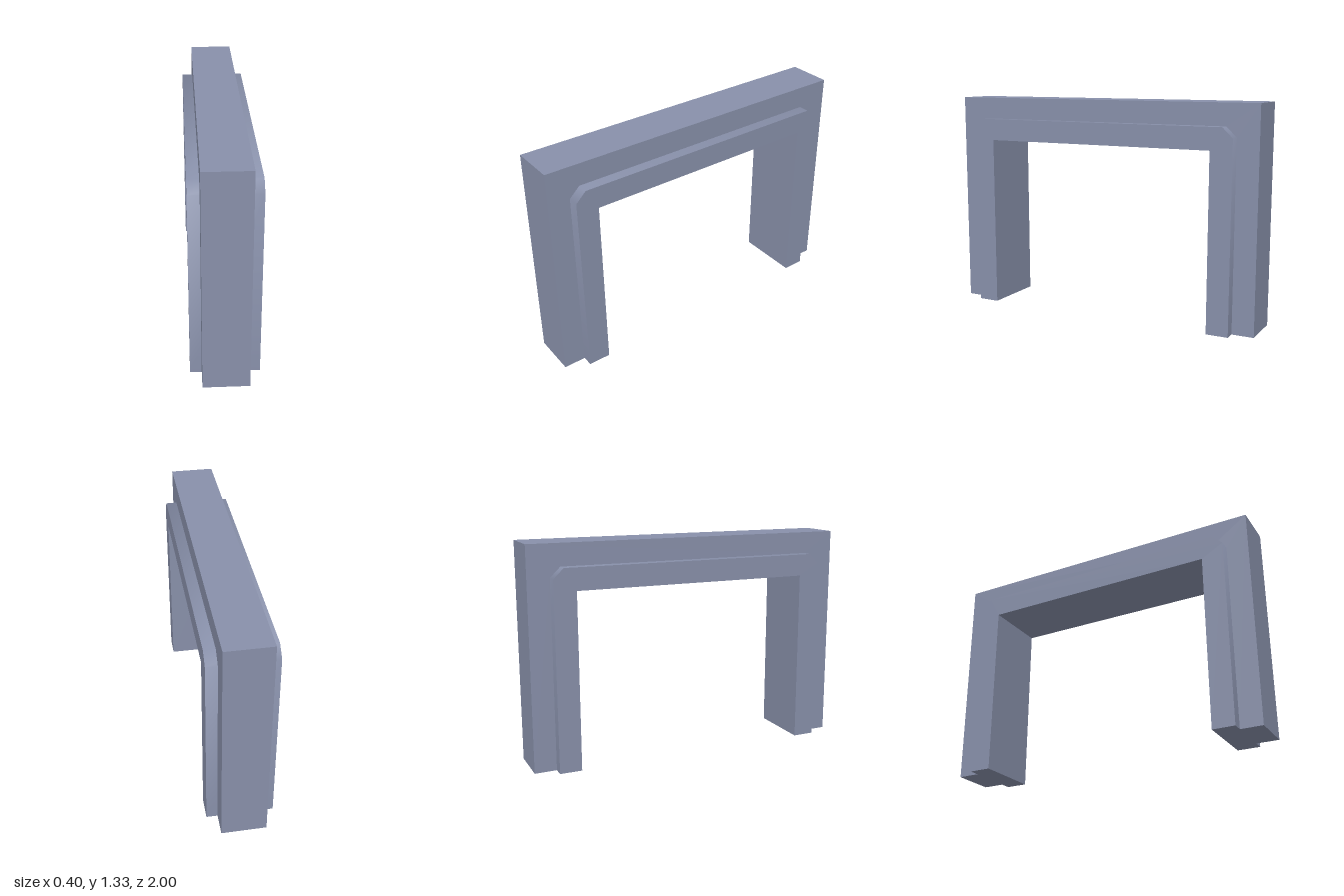
import * as THREE from 'three';
import { toCreasedNormals } from 'three/addons/utils/BufferGeometryUtils.js';

// Half outlines [z, y] from the floor up to the top; mirrored to make full ones.
const wallOutline = [[1, 0], [1, 1.333]];
const casingOutline = [[0.867, 0], [0.867, 1.14], [0.805, 1.2]];
const openingOutline = [[0.733, 0], [0.733, 1.067]];

const mirrored = (half) => [...half, ...half.map(([z, y]) => [-z, y]).reverse()];

// Arch-shaped band between two outlines, extruded along x and centred.
function archBand(name, outer, inner, width, material) {
  const points = [...mirrored(outer), ...mirrored(inner).reverse()];
  const shape = new THREE.Shape(points.map(([z, y]) => new THREE.Vector2(z, y)));
  const extruded = new THREE.ExtrudeGeometry(shape, { depth: width, bevelEnabled: false });
  extruded.translate(0, 0, -width / 2);
  extruded.rotateY(Math.PI / 2);
  // Soften the 45 degree corner cuts, keep square corners sharp.
  const mesh = new THREE.Mesh(toCreasedNormals(extruded, THREE.MathUtils.degToRad(50)), material);
  mesh.name = name;
  return mesh;
}

export function createModel() {
  const paint = new THREE.MeshStandardMaterial({ color: 0x8890aa });
  paint.name = 'blueGrey';

  const group = new THREE.Group();
  group.name = 'doorway';
  group.add(
    archBand('wallFrame', wallOutline, casingOutline, 0.267, paint),
    archBand('doorCasing', casingOutline, openingOutline, 0.4, paint),
  );
  return group;
}
